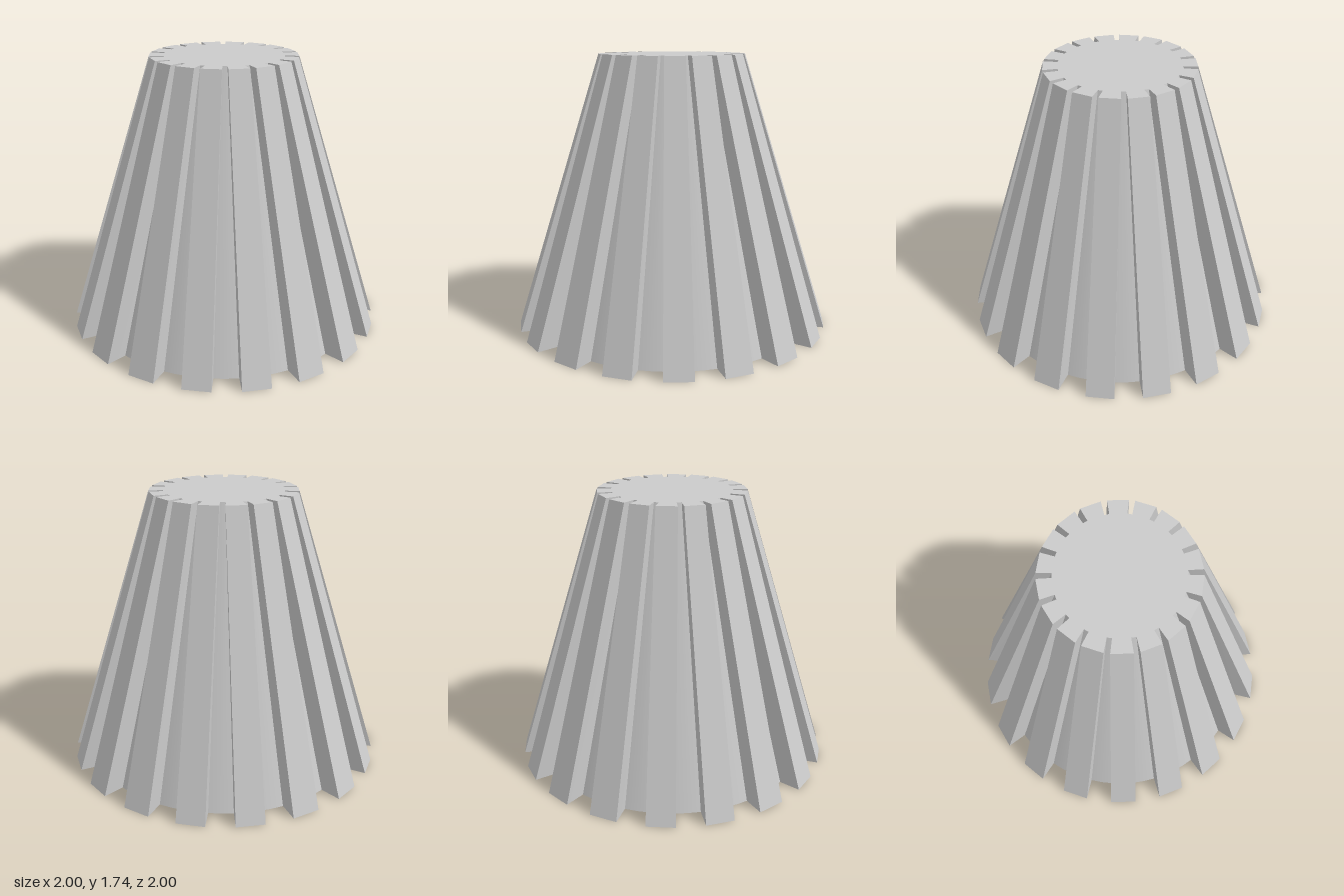
import * as THREE from 'three';

const HEIGHT = 1.738;
const RIBS = 18;
const material = new THREE.MeshStandardMaterial({ color: 0xcccccc });

// Cross-section of a rib at its foot and its head: radii and half-angle
const FOOT = { inner: 0.86, outer: 1.0038, half: THREE.MathUtils.degToRad(5) };
const HEAD = { inner: 0.362, outer: 0.46, half: THREE.MathUtils.degToRad(7.8) };

// A box bent into a leaning, tapered wedge with radial side walls and a flat face
function ribGeometry() {
  const geometry = new THREE.BoxGeometry(1, 1, 1);
  const p = geometry.attributes.position;
  for (let i = 0; i < p.count; i++) {
    const end = p.getY(i) > 0 ? HEAD : FOOT;
    const r = p.getX(i) > 0 ? end.outer : end.inner;
    const a = Math.sign(p.getZ(i)) * end.half;
    p.setXYZ(i, r * Math.cos(a), p.getY(i) > 0 ? HEIGHT : 0, r * Math.sin(a));
  }
  geometry.computeVertexNormals();
  return geometry;
}

export function createModel() {
  const model = new THREE.Group();
  model.name = 'ribbedCone';

  // Smooth truncated cone that forms the groove floors
  const core = new THREE.Mesh(new THREE.CylinderGeometry(0.372, 0.87, HEIGHT, 72), material);
  core.name = 'core';
  core.position.y = HEIGHT / 2;
  model.add(core);

  // Ribs all around, leaving narrowing grooves between them
  const ribs = new THREE.Group();
  ribs.name = 'ribs';
  const geometry = ribGeometry();
  for (let i = 0; i < RIBS; i++) {
    const rib = new THREE.Mesh(geometry, material);
    rib.name = 'rib';
    rib.rotation.y = (i / RIBS) * Math.PI * 2;
    ribs.add(rib);
  }
  model.add(ribs);
  return model;
}
